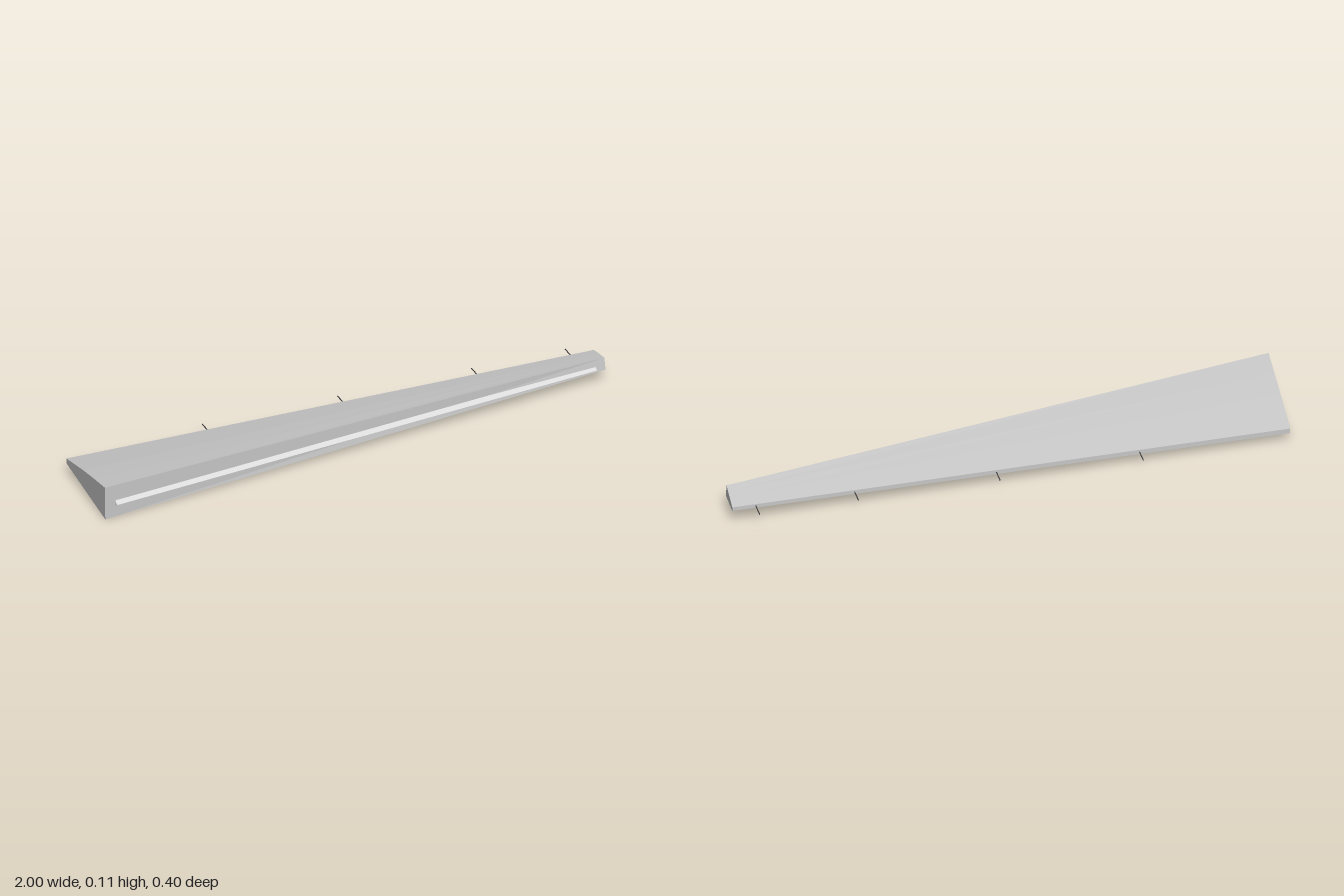
import * as THREE from 'three';

const skin = new THREE.MeshStandardMaterial({ color: 0xc8c8c8 });
skin.name = 'wingGrey';
const pale = new THREE.MeshStandardMaterial({ color: 0xdedede });
pale.name = 'paleGrey';
const dark = new THREE.MeshStandardMaterial({ color: 0x444444 });
dark.name = 'darkGrey';

// Joins two matching convex sections of [x, y, z] points, running from -x to +x
function loft(a, b) {
  const pos = [];
  const tri = (...pts) => pts.forEach((p) => pos.push(...p));
  const n = a.length;
  for (let i = 0; i < n; i++) {
    const j = (i + 1) % n;
    tri(a[i], b[i], b[j]);
    tri(a[i], b[j], a[j]);
  }
  for (let i = 1; i < n - 1; i++) {
    tri(a[0], a[i], a[i + 1]);
    tri(b[0], b[i + 1], b[i]);
  }
  const geo = new THREE.BufferGeometry();
  geo.setAttribute('position', new THREE.Float32BufferAttribute(pos, 3));
  geo.computeVertexNormals();
  return geo;
}

export function createModel() {
  const wing = new THREE.Group();
  wing.name = 'wing';
  const add = (name, geo, mat) => {
    const mesh = new THREE.Mesh(geo, mat);
    mesh.name = name;
    wing.add(mesh);
    return mesh;
  };

  // Tapered wing panel: blunt leading edge, thin trailing edge
  const root = [
    [-1, 0, 0.19], [-1, 0.113, 0.188], [-0.953, 0.096, 0.02 + 0.06],
    [-0.924, 0.077, -0.03], [-0.89, 0.043, -0.2], [-0.89, 0.026, -0.2],
  ];
  root[2][0] = -0.969;
  root[3][0] = -0.938;
  const tip = [
    [0.967, 0.037, 0.195], [0.967, 0.077, 0.188], [0.977, 0.071, 0.157],
    [0.986, 0.065, 0.126], [1, 0.055, 0.078], [1, 0.042, 0.078],
  ];
  add('wingPanel', loft(root, tip), skin);

  // Raised strip along the leading edge
  const section = (x) => [[x, 0.038, 0.187], [x, 0.045, 0.2], [x, 0.06, 0.187]];
  add('leadingEdgeStrip', loft(section(-0.96), section(0.93)), pale);

  // Thin rods along the trailing edge
  for (const x of [-0.38, 0.105, 0.585, 0.92]) {
    const t = (x + 0.89) / 1.89;
    const z = -0.2 + 0.278 * t;
    const y = 0.034 + 0.014 * t;
    const path = new THREE.LineCurve3(
      new THREE.Vector3(x - 0.002, y, z + 0.008),
      new THREE.Vector3(x + 0.015, y, z - 0.06),
    );
    add('trailingRod', new THREE.TubeGeometry(path, 1, 0.0018, 6), dark);
  }
  return wing;
}
